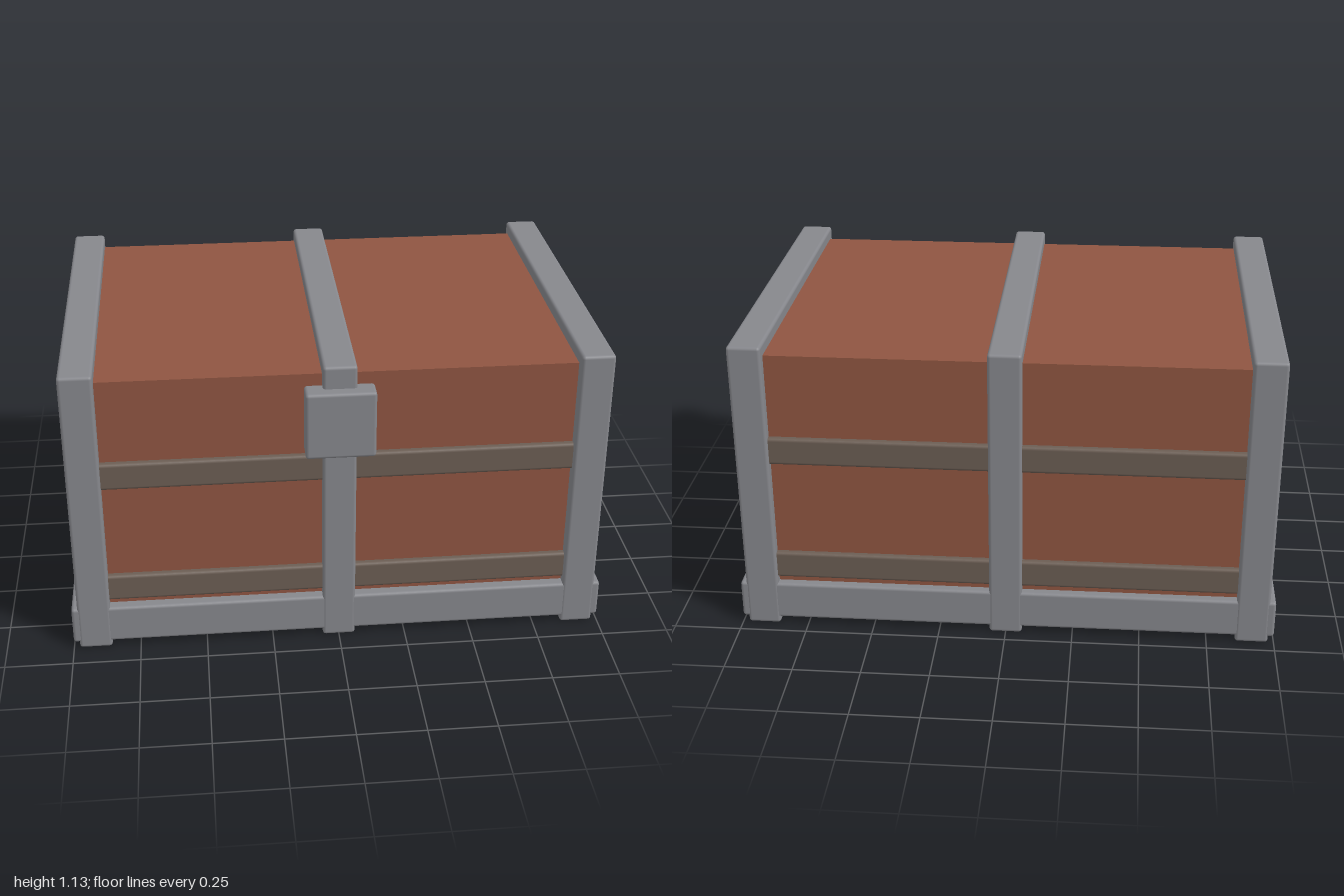
import * as THREE from 'three';
import { RoundedBoxGeometry } from 'three/addons/geometries/RoundedBoxGeometry.js';

const material = (name, color) => {
  const m = new THREE.MeshStandardMaterial({ color });
  m.name = name;
  return m;
};

export function createModel() {
  const iron = material('grey iron', 0x86878c);
  const wood = material('red brown wood', 0x8f5541);
  const slatWood = material('dull brown wood', 0x6b5d53);
  const chest = new THREE.Group();
  chest.name = 'chest';

  // Box given by its [min, max] extents, with optional softened edges
  const addBox = (name, mat, [x0, x1], [y0, y1], [z0, z1], bevel = 0) => {
    const size = [x1 - x0, y1 - y0, z1 - z0];
    const geometry = bevel
      ? new RoundedBoxGeometry(...size, 2, bevel)
      : new THREE.BoxGeometry(...size);
    const mesh = new THREE.Mesh(geometry, mat);
    mesh.name = name;
    mesh.position.set((x0 + x1) / 2, (y0 + y1) / 2, (z0 + z1) / 2);
    chest.add(mesh);
  };

  const depth = [-0.7, 0.658];

  // Wooden body
  addBox('body', wood, [-0.87, 0.87], [0.022, 1.088], [-0.665, 0.615]);

  // Slats showing on the front and back
  for (const y of [[0.195, 0.3], [0.667, 0.772]])
    addBox('slat', slatWood, [-0.87, 0.87], y, [-0.686, 0.638], 0.012);

  // Iron base frame
  addBox('base', iron, [-1, 1], [0.025, 0.172], [-0.698, 0.656], 0.012);

  // Iron end plates and the middle band
  for (const side of [-1, 1])
    addBox('endPlate', iron, [side * 0.917 - 0.061, side * 0.917 + 0.061], [0, 1.13], depth, 0.012);
  addBox('middleBand', iron, [-0.061, 0.061], [0, 1.13], depth, 0.012);

  // Lock plate on the front
  addBox('lock', iron, [-0.126, 0.126], [0.79, 1.046], [0.615, 0.7], 0.012);

  return chest;
}
